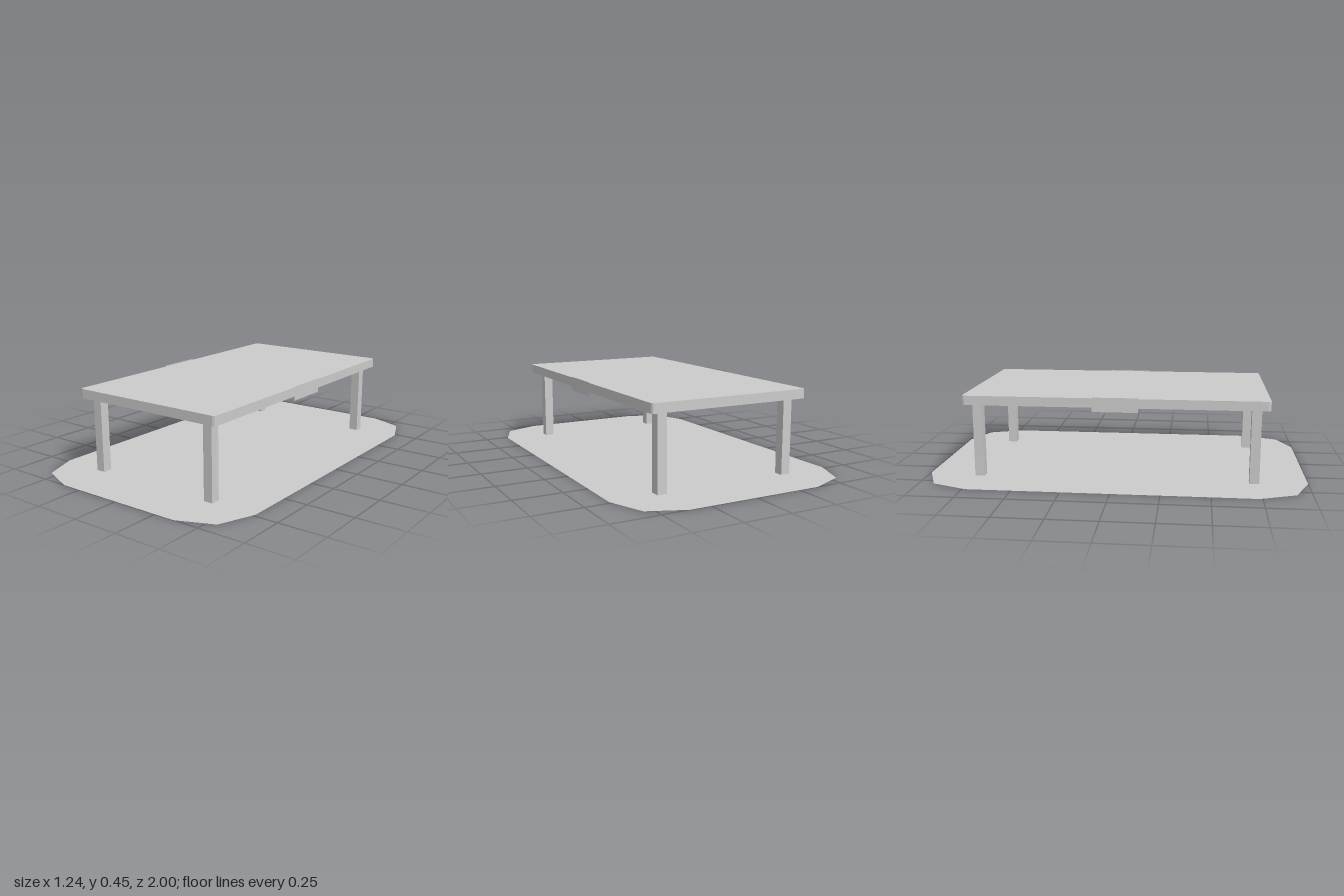
import * as THREE from 'three';

const material = new THREE.MeshStandardMaterial({ color: 0xcccccc, flatShading: true, side: THREE.DoubleSide });

function part(name, geometry, parent, x = 0, y = 0, z = 0) {
  const mesh = new THREE.Mesh(geometry, material);
  mesh.name = name;
  mesh.position.set(x, y, z);
  parent.add(mesh);
  return mesh;
}

// Flat horizontal sheet facing up, from an outline in x and z
function sheet(points) {
  return new THREE.ShapeGeometry(new THREE.Shape(points)).rotateX(-Math.PI / 2);
}

// Rectangle outline with small rounded corners
function roundedOutline(hw, hd, r, steps) {
  const points = [];
  [[1, 1], [-1, 1], [-1, -1], [1, -1]].forEach(([sx, sy], corner) => {
    for (let i = 0; i <= steps; i++) {
      const a = (corner + i / steps) * Math.PI / 2;
      points.push(new THREE.Vector2(sx * (hw - r) + r * Math.cos(a), sy * (hd - r) + r * Math.sin(a)));
    }
  });
  return points;
}

// Vertical band that follows an outline
function band(points, height) {
  const positions = [];
  points.forEach((p, i) => {
    const q = points[(i + 1) % points.length];
    const a = [p.x, 0, -p.y], b = [q.x, 0, -q.y];
    const c = [q.x, height, -q.y], d = [p.x, height, -p.y];
    positions.push(...a, ...b, ...c, ...a, ...c, ...d);
  });
  const geometry = new THREE.BufferGeometry();
  geometry.setAttribute('position', new THREE.Float32BufferAttribute(positions, 3));
  geometry.computeVertexNormals();
  return geometry;
}

export function createModel() {
  const model = new THREE.Group();
  model.name = 'coffeeTable';

  // Rug with cut corners, lying on the floor
  const quarter = [[0.622, 0.735], [0.547, 0.922], [0.36, 1]];
  const mirrored = (sx, sy) => quarter.map(([x, y]) => new THREE.Vector2(sx * x, sy * y));
  part('rug', sheet([
    ...mirrored(1, 1), ...mirrored(-1, 1).reverse(),
    ...mirrored(-1, -1), ...mirrored(1, -1).reverse(),
  ]), model);

  const table = new THREE.Group();
  table.name = 'table';
  table.position.x = -0.002;
  model.add(table);

  // Table top: thin lid with a rim, open underneath
  const topY = 0.443, rimY = 0.394;
  const outline = roundedOutline(0.436, 0.79, 0.014, 2);
  part('tableTop', sheet(outline), table, 0, topY, 0);
  part('rim', band(outline, topY - rimY), table, 0, rimY, 0);

  for (const sx of [-1, 1]) {
    // Square legs reaching up to the lid
    for (const sz of [-1, 1]) {
      part('leg', new THREE.BoxGeometry(0.05, topY - 0.002, 0.05), table, sx * 0.36, (topY - 0.002) / 2, sz * 0.724);
    }
    // Flat drawer front on each long side
    const front = new THREE.PlaneGeometry(0.238, 0.075).rotateY(sx * Math.PI / 2);
    part('drawerFront', front, table, sx * 0.44, 0.41, 0.008);
  }

  return model;
}
